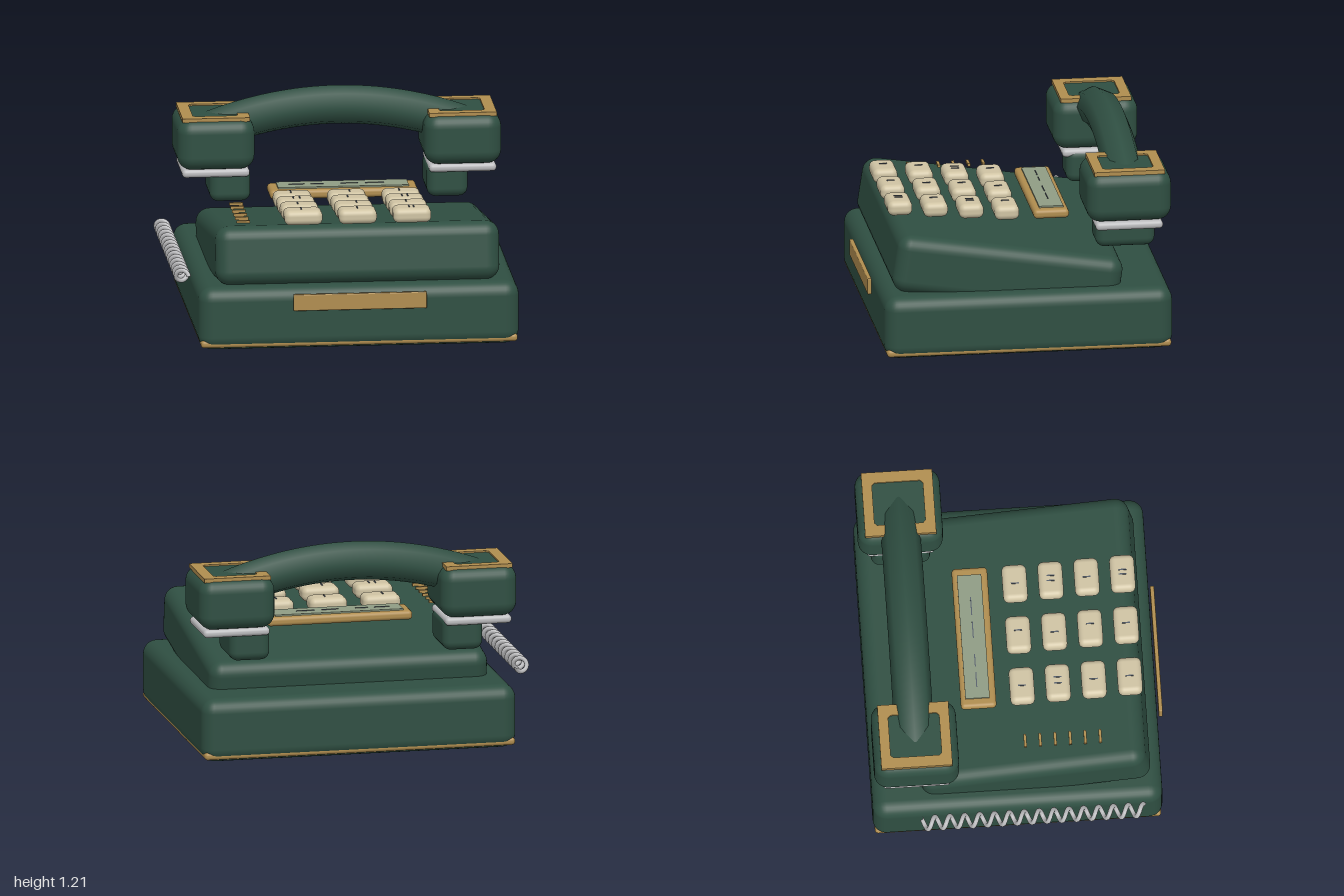
import * as THREE from 'three';
import { RoundedBoxGeometry } from 'three/addons/geometries/RoundedBoxGeometry.js';

const material = (name, color) => {
  const m = new THREE.MeshStandardMaterial({ color });
  m.name = name;
  return m;
};

export function createModel() {
  const phone = new THREE.Group();
  phone.name = 'deskTelephone';

  const green = material('darkGreen', 0x2f4f42);
  const brass = material('brass', 0xb08d4f);
  const cream = material('cream', 0xcfc3a3);
  const chrome = material('chrome', 0xbcbcbe);
  const lcd = material('displayGreen', 0x8f9c84);
  const ink = material('slateInk', 0x565f6b);

  const add = (name, geometry, mat, x = 0, y = 0, z = 0) => {
    const mesh = new THREE.Mesh(geometry, mat);
    mesh.name = name;
    mesh.position.set(x, y, z);
    phone.add(mesh);
    return mesh;
  };
  const rounded = (w, h, d, r) => new RoundedBoxGeometry(w, h, d, 4, r);
  const cx = 0.06; // centre line of the body; the cord hangs to one side

  // Base, its trim and the front plate
  add('base', rounded(1.85, 0.37, 1.67, 0.08), green, cx, 0.185, -0.015);
  add('baseTrim', rounded(1.83, 0.045, 1.65, 0.02), brass, cx, 0.04, -0.015);
  add('frontPlate', rounded(0.77, 0.096, 0.024, 0.006), brass, cx, 0.287, 0.841);

  // Sloping upper body
  const deck = add('upperBody', rounded(1.64, 0.34, 1.32, 0.08), green, cx, 0.445, 0.09);
  deck.rotation.x = -0.151;

  // Keypad: 4 rows of 3, each key with thin marks (offsets in x)
  const keyGeometry = rounded(0.22, 0.086, 0.142, 0.034);
  const markGeometry = new THREE.BoxGeometry(0.007, 0.006, 0.046);
  const marks = [
    [[-0.01], [0.015], [-0.012]],
    [[-0.015, 0.022], [-0.015], [-0.015, 0.016]],
    [[-0.01], [0.015], [-0.012]],
    [[-0.01], [0], [-0.015, 0.012]],
  ];
  marks.forEach((row, r) => row.forEach((offsets, c) => {
    const x = cx + (c - 1) * 0.314;
    const y = 0.703 + r * 0.0177;
    const z = 0.045 + r * 0.207;
    add('key', keyGeometry, cream, x, y, z);
    offsets.forEach((o) => add('keyMark', markGeometry, ink, x + o, y + 0.044, z));
  }));

  // Display with a dashed readout
  add('displayFrame', rounded(0.855, 0.054, 0.205, 0.022), brass, cx, 0.69, -0.21);
  add('displayScreen', new THREE.BoxGeometry(0.755, 0.009, 0.14), lcd, cx, 0.7215, -0.214);
  for (const [from, to] of [[-0.25, -0.16], [-0.125, -0.05], [0.05, 0.15], [0.19, 0.3]]) {
    add('displayDash', new THREE.BoxGeometry(to - from, 0.004, 0.006), ink,
      (from + to) / 2, 0.727, -0.214);
  }

  // Speaker slots beside the keypad
  for (let i = 0; i < 6; i++) {
    add('speakerSlot', new THREE.BoxGeometry(0.078, 0.016, 0.016), brass, -0.58, 0.682, 0.043 + i * 0.0865);
  }

  // Brass bezel: a square frame with an open middle, laid flat
  const bezelShape = new THREE.Shape([
    [-0.195, -0.205], [0.195, -0.205], [0.195, 0.205], [-0.195, 0.205],
  ].map(([x, y]) => new THREE.Vector2(x, y)));
  bezelShape.holes.push(new THREE.Path([
    [-0.13, -0.132], [-0.13, 0.132], [-0.115, 0.147], [0.115, 0.147],
    [0.13, 0.132], [0.13, -0.132], [0.115, -0.147], [-0.115, -0.147],
  ].map(([x, y]) => new THREE.Vector2(x, y))));
  const bezelGeometry = new THREE.ExtrudeGeometry(bezelShape, { depth: 0.024, bevelEnabled: false });
  bezelGeometry.rotateX(-Math.PI / 2);

  // Handset ends: shell, bezel, chrome plate and lower cup
  const hx = 0.0625;
  const hz = -0.597;
  for (const side of [-1, 1]) {
    const x = hx + side * 0.7125;
    add('handsetEnd', rounded(0.445, 0.298, 0.49, 0.08), green, x, 0.925, hz);
    add('handsetBezel', bezelGeometry, brass, x, 1.059, hz);
    add('chromePlate', rounded(0.39, 0.048, 0.39, 0.022), chrome, x, 0.752, hz);
    add('handsetCup', rounded(0.235, 0.2, 0.342, 0.05), green, hx + side * 0.6275, 0.675, hz);
  }

  // Arched handle
  const arch = new THREE.QuadraticBezierCurve3(
    new THREE.Vector3(hx - 0.7125, 0.97, hz),
    new THREE.Vector3(hx, 1.23, hz),
    new THREE.Vector3(hx + 0.7125, 0.97, hz),
  );
  add('handle', new THREE.TubeGeometry(arch, 32, 0.114, 8, false), green);

  // Coiled cord
  const coil = new THREE.Curve();
  const turns = 15;
  coil.getPoint = (t, target = new THREE.Vector3()) => {
    const a = Math.PI / 2 + t * turns * Math.PI * 2;
    return target.set(Math.sin(a) * 0.035 - 0.952, Math.cos(a) * 0.035 + 0.42, -0.58 + t * 1.285);
  };
  coil.arcLengthDivisions = 600;
  add('coiledCord', new THREE.TubeGeometry(coil, turns * 18, 0.0135, 8, false), chrome);

  return phone;
}
